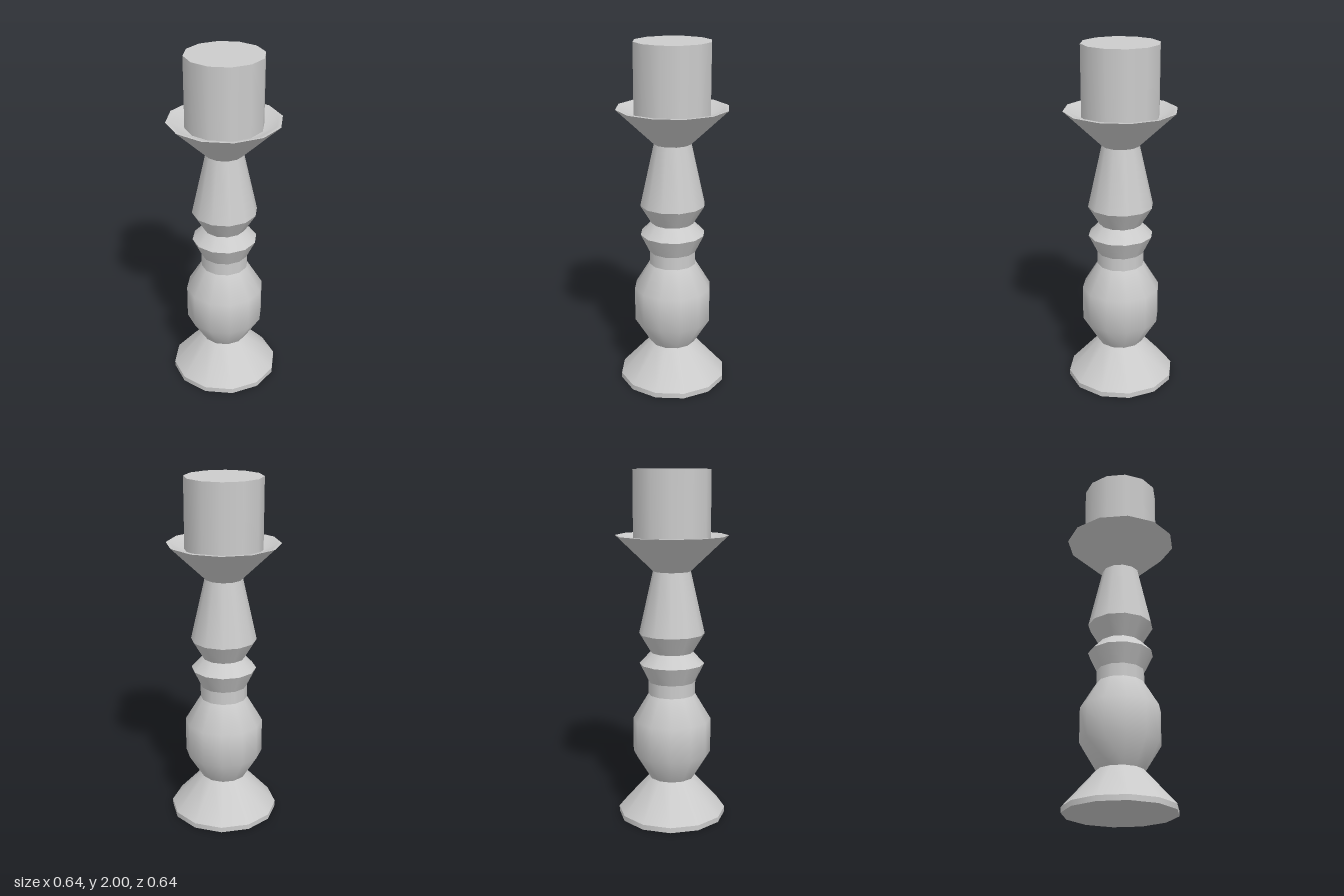
import * as THREE from 'three';

const SIDES = 12;
const material = new THREE.MeshStandardMaterial({ color: 0xcccccc });

// Turns each profile strip ([radius, height] points, running up the outside
// and then inwards over the top). Strips shade smoothly and meet at hard edges.
function turned(name, ...strips) {
  const part = new THREE.Group();
  part.name = name;
  strips.forEach((strip, i) => {
    const points = strip.map(([r, y]) => new THREE.Vector2(r, y));
    const mesh = new THREE.Mesh(new THREE.LatheGeometry(points, SIDES), material);
    mesh.name = `${name}Surface${i + 1}`;
    part.add(mesh);
  });
  return part;
}

export function createModel() {
  const model = new THREE.Group();
  model.name = 'candlestick';

  model.add(
    // Flared foot: underside, thin lip, sloping top
    turned('foot',
      [[0, 0], [0.313, 0]],
      [[0.313, 0], [0.313, 0.03]],
      [[0.313, 0.03], [0.133, 0.23]]),

    // Rounded belly of the stem
    turned('belly', [[0.133, 0.23], [0.225, 0.38], [0.225, 0.58], [0.135, 0.73]]),

    // Straight neck and the ring above it
    turned('neck', [[0.135, 0.73], [0.135, 0.805]]),
    turned('ring',
      [[0.135, 0.805], [0.186, 0.91]],
      [[0.186, 0.91], [0.122, 0.977]]),

    // Tapered upper stem
    turned('upperStem',
      [[0.122, 0.977], [0.187, 1.085]],
      [[0.187, 1.085], [0.107, 1.44]]),

    // Drip dish: outside, narrow rim flowing into the shallow inside
    turned('dripDish',
      [[0.107, 1.44], [0.318, 1.64]],
      [[0.318, 1.64], [0.295, 1.64], [0.21, 1.6], [0, 1.6]]),

    // Candle standing in the dish
    turned('candle',
      [[0.217, 1.6], [0.217, 2]],
      [[0.217, 2], [0, 2]]),
  );

  return model;
}
